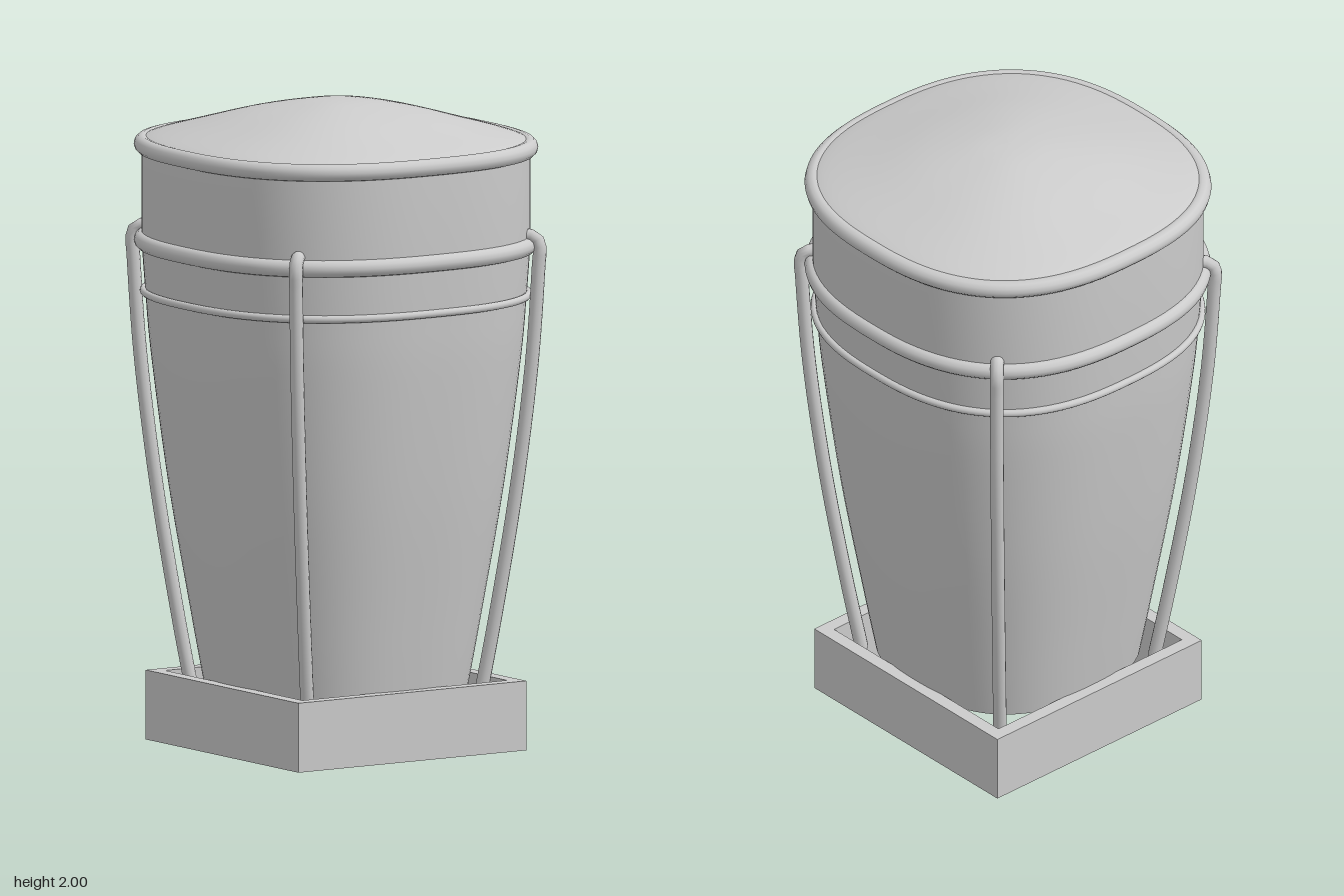
import * as THREE from 'three';
import { toCreasedNormals } from 'three/addons/utils/BufferGeometryUtils.js';

const material = new THREE.MeshStandardMaterial({ color: 0xcccccc });

// Radius factor that turns a circle into a rounded square
const POWER = 2.52;
const squareness = (a) =>
  Math.pow(Math.abs(Math.cos(a)) ** POWER + Math.abs(Math.sin(a)) ** POWER, -1 / POWER);

function addMesh(parent, name, geometry) {
  const mesh = new THREE.Mesh(geometry, material);
  mesh.name = name;
  parent.add(mesh);
  return mesh;
}

// Smooth curve through [half width, y] pairs
function smoothProfile(pairs, steps) {
  return new THREE.SplineCurve(pairs.map(([r, y]) => new THREE.Vector2(r, y))).getPoints(steps);
}

// Lathe whose round section is pushed out to the rounded square
function squareLathe(points) {
  const geometry = new THREE.LatheGeometry(points, 96);
  const p = geometry.attributes.position;
  for (let i = 0; i < p.count; i++) {
    const k = squareness(Math.atan2(p.getZ(i), p.getX(i)));
    p.setX(i, p.getX(i) * k);
    p.setZ(i, p.getZ(i) * k);
  }
  return toCreasedNormals(geometry, 0.6);
}

// Hoop following the rounded square
function hoop(halfWidth, tubeRadius) {
  const points = [];
  for (let i = 0; i < 64; i++) {
    const a = (i / 64) * Math.PI * 2;
    const r = halfWidth * squareness(a);
    points.push(new THREE.Vector3(Math.cos(a) * r, 0, Math.sin(a) * r));
  }
  const curve = new THREE.CatmullRomCurve3(points, true);
  return new THREE.TubeGeometry(curve, 128, tubeRadius, 12, true);
}

export function createModel() {
  const model = new THREE.Group();
  model.name = 'bin';

  // Tapered body with flat floor and straight collar
  const wall = smoothProfile(
    [[0.378, 0.185], [0.415, 0.4], [0.48, 0.8], [0.53, 1.2], [0.547, 1.4], [0.558, 1.56]], 30);
  addMesh(model, 'body', squareLathe([
    new THREE.Vector2(0, 0.185), ...wall, new THREE.Vector2(0.558, 1.86),
  ]));

  // Domed lid
  const dome = smoothProfile(
    [[0.565, 1.87], [0.53, 1.887], [0.41, 1.922], [0.25, 1.966], [0.1, 1.994], [0, 2]], 24);
  addMesh(model, 'lid', squareLathe(dome));

  // Hoops around the body
  const hoops = [
    ['lidRim', 1.857, 0.555, 0.027],
    ['upperHoop', 1.56, 0.555, 0.027],
    ['lowerHoop', 1.403, 0.552, 0.012],
  ];
  for (const [name, y, halfWidth, radius] of hoops) {
    addMesh(model, name, hoop(halfWidth, radius)).position.y = y;
  }

  // Bent corner rods, hooked in at the top; d is the offset along both x and z
  const rodPath = [
    [0.318, 0.16], [0.35, 0.4], [0.397, 0.8], [0.432, 1.2],
    [0.447, 1.5], [0.449, 1.56], [0.44, 1.588], [0.415, 1.595],
  ];
  for (const sx of [1, -1]) {
    for (const sz of [1, -1]) {
      const rod = new THREE.Group();
      rod.name = 'cornerRod';
      model.add(rod);
      const points = rodPath.map(([d, y]) => new THREE.Vector3(sx * d, y, sz * d));
      const curve = new THREE.CatmullRomCurve3(points);
      addMesh(rod, 'rod', new THREE.TubeGeometry(curve, 64, 0.021, 12));
      for (const end of [points[0], points[points.length - 1]]) {
        addMesh(rod, 'rodEnd', new THREE.SphereGeometry(0.021, 12, 8)).position.copy(end);
      }
    }
  }

  // Open square base of four boards
  const base = new THREE.Group();
  base.name = 'baseFrame';
  model.add(base);
  const half = 0.42, thick = 0.043, height = 0.215;
  for (const s of [1, -1]) {
    addMesh(base, s > 0 ? 'frontBoard' : 'backBoard',
      new THREE.BoxGeometry(half * 2, height, thick)).position.set(0, height / 2, s * (half - thick / 2));
    addMesh(base, s > 0 ? 'leftBoard' : 'rightBoard',
      new THREE.BoxGeometry(thick, height, (half - thick) * 2)).position.set(s * (half - thick / 2), height / 2, 0);
  }

  return model;
}
